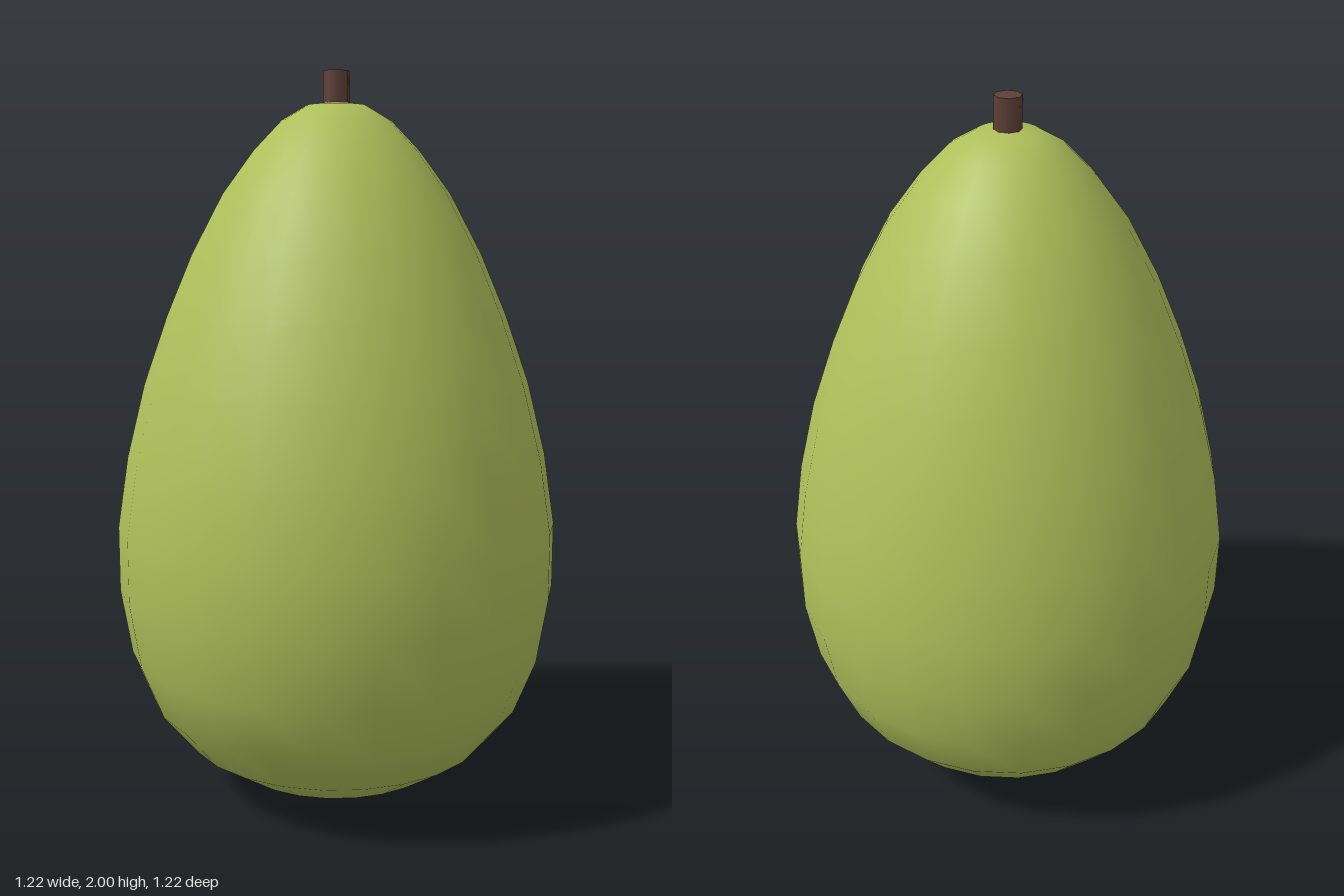
import * as THREE from 'three';

// Radius and height of the fruit's rings, from the base to the crown
const PROFILE = [
  [0, 0], [0.15, 0.02], [0.295, 0.06], [0.42, 0.14], [0.52, 0.26], [0.58, 0.41],
  [0.61, 0.59], [0.61, 0.77], [0.58, 0.965], [0.53, 1.165], [0.465, 1.35],
  [0.395, 1.515], [0.31, 1.675], [0.225, 1.79], [0.148, 1.87], [0.08, 1.91], [0, 1.92],
];

export function createModel() {
  const model = new THREE.Group();
  model.name = 'fruit';

  // Smooth egg-shaped body
  const points = PROFILE.map(([r, y]) => new THREE.Vector2(r, y));
  const body = new THREE.Mesh(
    new THREE.LatheGeometry(points, 24),
    new THREE.MeshStandardMaterial({ color: 0xafbf5a }),
  );
  body.name = 'body';

  // Short stem, sunk a little into the crown
  const stem = new THREE.Mesh(
    new THREE.CylinderGeometry(0.036, 0.036, 0.12, 8),
    new THREE.MeshStandardMaterial({ color: 0x5d4037 }),
  );
  stem.name = 'stem';
  stem.position.y = 1.94;

  model.add(body, stem);
  return model;
}
